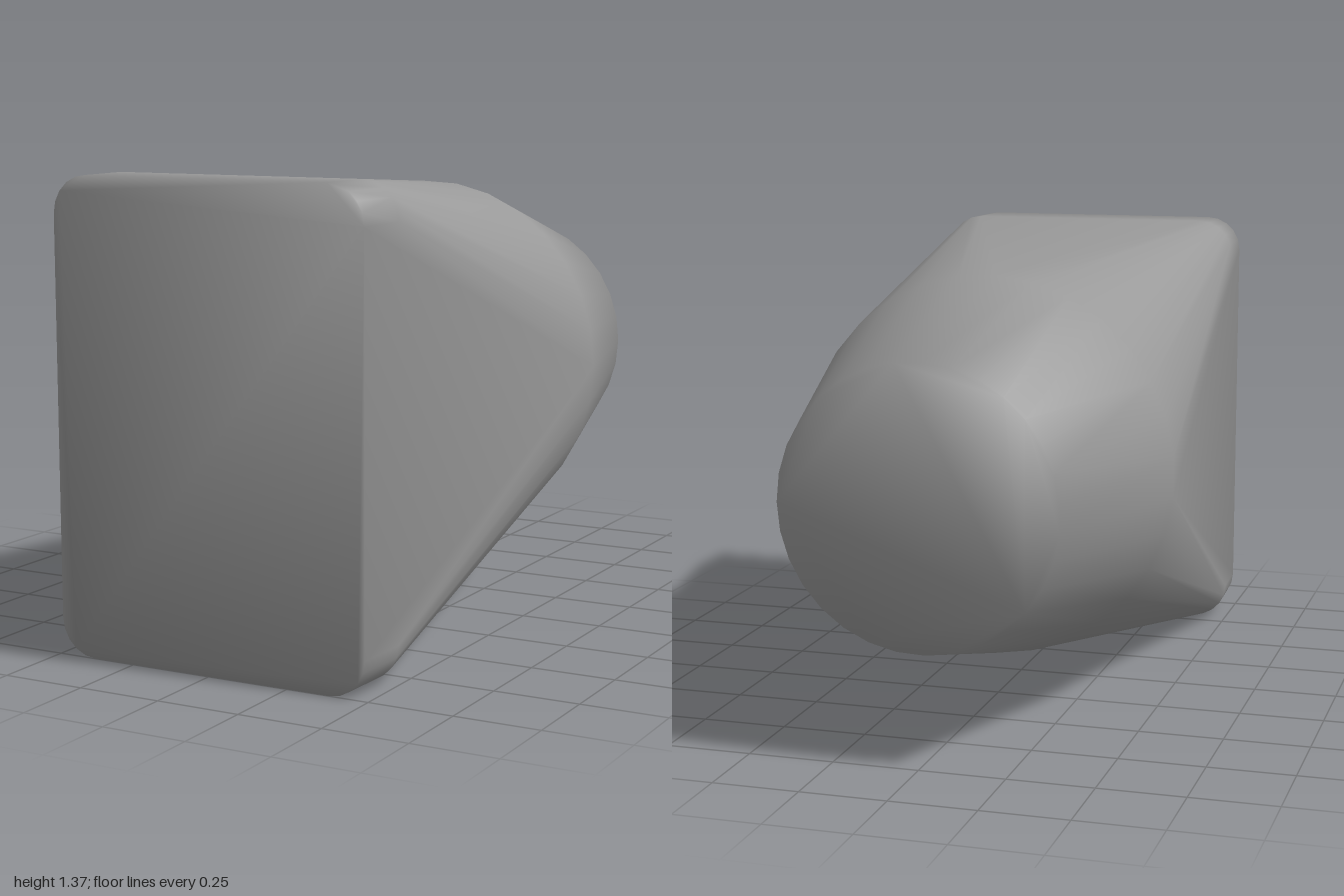
import * as THREE from 'three';
import { ConvexGeometry } from 'three/addons/geometries/ConvexGeometry.js';
import { mergeVertices } from 'three/addons/utils/BufferGeometryUtils.js';

const CENTRE_Y = 0.728;

// Circular cross-section at depth z
function circleRing(radius, z, sides = 31) {
  return Array.from({ length: sides }, (_, i) => {
    const a = (i / sides) * Math.PI * 2;
    return new THREE.Vector3(radius * Math.cos(a), CENTRE_Y + radius * Math.sin(a), z);
  });
}

// Rounded rectangular cross-section at depth z
function roundedRing(halfWidth, height, radius, z, steps = 5) {
  const points = [];
  for (let corner = 0; corner < 4; corner++) {
    const sx = corner === 0 || corner === 3 ? 1 : -1;
    const sy = corner < 2 ? 1 : -1;
    for (let i = 0; i <= steps; i++) {
      const a = (corner + i / steps) * Math.PI / 2;
      points.push(new THREE.Vector3(
        sx * (halfWidth - radius) + radius * Math.cos(a),
        height / 2 + sy * (height / 2 - radius) + radius * Math.sin(a),
        z
      ));
    }
  }
  return points;
}

// Smooth normals weighted by corner angle, so both end rims blend evenly into the sides
function smoothByAngle(geometry) {
  const position = geometry.attributes.position;
  const index = geometry.index;
  const sums = Array.from({ length: position.count }, () => new THREE.Vector3());
  for (let f = 0; f < index.count; f += 3) {
    const ids = [0, 1, 2].map((k) => index.getX(f + k));
    const p = ids.map((id) => new THREE.Vector3().fromBufferAttribute(position, id));
    const triangle = new THREE.Triangle(...p);
    if (triangle.getArea() < 1e-7) continue;
    const normal = triangle.getNormal(new THREE.Vector3());
    ids.forEach((id, k) => {
      const a = p[(k + 1) % 3].clone().sub(p[k]);
      const b = p[(k + 2) % 3].clone().sub(p[k]);
      sums[id].addScaledVector(normal, a.angleTo(b));
    });
  }
  const normals = sums.flatMap((n) => n.normalize().toArray());
  geometry.setAttribute('normal', new THREE.Float32BufferAttribute(normals, 3));
  return geometry;
}

export function createModel() {
  const group = new THREE.Group();
  group.name = 'taperedHousing';

  // Rectangular front collar, widest round section, then the small round back end
  const hull = new ConvexGeometry([
    ...roundedRing(0.49, 1.37, 0.11, 1),
    ...roundedRing(0.497, 1.37, 0.11, 0.82),
    ...circleRing(0.568, -0.37),
    ...circleRing(0.401, -1),
  ]);
  hull.deleteAttribute('normal');

  const shell = new THREE.Mesh(
    smoothByAngle(mergeVertices(hull, 1e-4)),
    new THREE.MeshStandardMaterial({ color: 0x999999 })
  );
  shell.name = 'shell';
  group.add(shell);
  return group;
}
